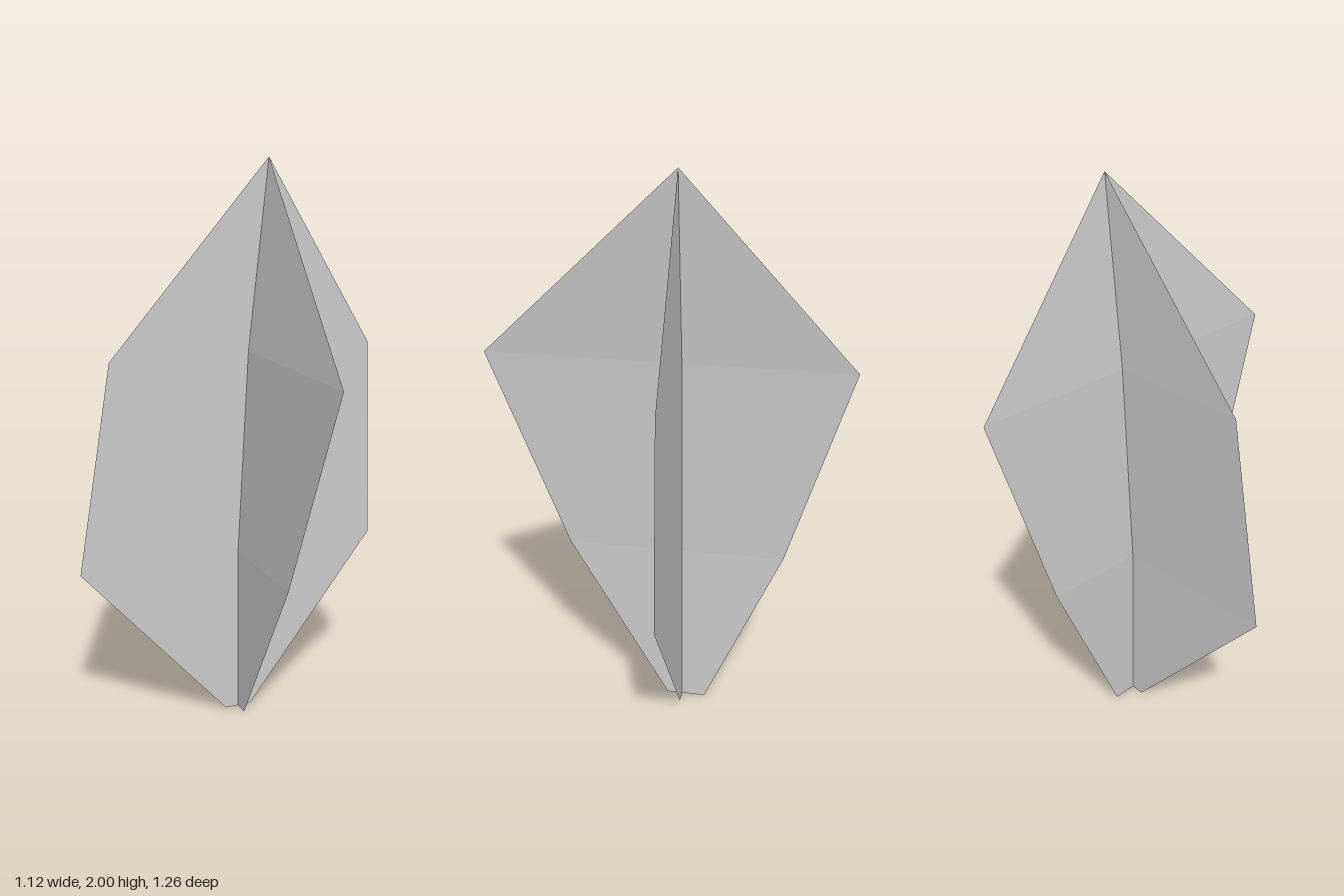
import * as THREE from 'three';

// Open sheet lofted through rows of [edge point, opposite edge point], ending at an apex
function makeSheet(name, rows, apex, material) {
  const positions = [];
  for (let i = 0; i < rows.length - 1; i++) {
    const [a, b] = rows[i];
    const [c, d] = rows[i + 1];
    positions.push(...a, ...b, ...d, ...a, ...d, ...c);
  }
  const [a, b] = rows[rows.length - 1];
  positions.push(...a, ...b, ...apex);
  const geometry = new THREE.BufferGeometry();
  geometry.setAttribute('position', new THREE.Float32BufferAttribute(positions, 3));
  geometry.computeVertexNormals();
  const mesh = new THREE.Mesh(geometry, material);
  mesh.name = name;
  return mesh;
}

export function createModel() {
  const group = new THREE.Group();
  group.name = 'crossedLeafCards';
  const material = new THREE.MeshStandardMaterial({
    color: 0xcccccc, flatShading: true, side: THREE.DoubleSide,
  });
  const apex = [0.135, 2, -0.048];

  // Flat sheet spanning left to right: [y, xMin, xMax, z]
  const wide = [
    [0, -0.025, 0.075, -0.05],
    [0.62, -0.565, 0.56, -0.047],
    [1.35, -0.44, 0.535, -0.05],
  ].map(([y, x0, x1, z]) => [[x0, y, z], [x1, y, z]]);
  group.add(makeSheet('wideLeafCard', wide, apex, material));

  // Sheet spanning front to back, bending toward the tip: [y, zMin, zMax, x]
  const deep = [
    [0, -0.135, 0.005, 0.025],
    [0.62, -0.41, 0.365, 0.023],
    [1.35, -0.63, 0.63, 0.063],
  ].map(([y, z0, z1, x]) => [[x, y, z1], [x, y, z0]]);
  group.add(makeSheet('deepLeafCard', deep, apex, material));

  return group;
}
